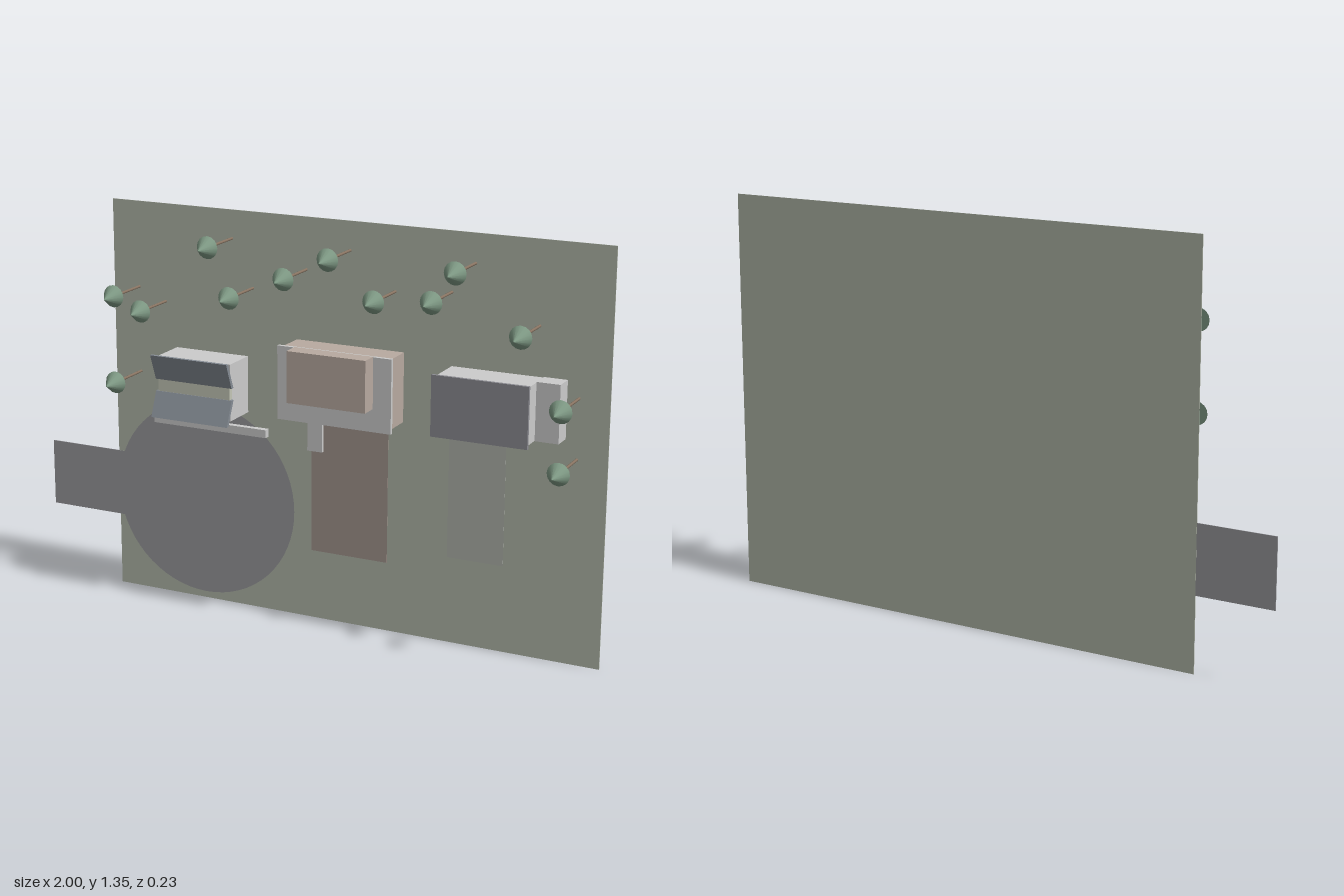
import * as THREE from 'three';

const BASE = -0.111; // front face of the ground board

const mat = (color) => new THREE.MeshStandardMaterial({ color, side: THREE.DoubleSide });
const mats = {
  lawn: mat(0xb0b6a8), paving: mat(0x98989c), brownPath: mat(0xa2958d), palePath: mat(0xaeb2aa),
  wall: mat(0xcccccc), darkRoof: mat(0x8c8c92), slate: mat(0x858c94), cream: mat(0xc3c6b6),
  brown: mat(0xb8aaa0), trunk: mat(0x8a7563), leaf: mat(0x7f9a85),
};

export function createModel() {
  const model = new THREE.Group();

  function add(name, geometry, material, parent = model) {
    const mesh = new THREE.Mesh(geometry, material);
    mesh.name = name;
    parent.add(mesh);
    return mesh;
  }

  // Box given by its limits on each axis
  function block(name, x0, x1, y0, y1, z0, z1, material, parent) {
    const mesh = add(name, new THREE.BoxGeometry(x1 - x0, y1 - y0, z1 - z0), material, parent);
    mesh.position.set((x0 + x1) / 2, (y0 + y1) / 2, (z0 + z1) / 2);
    return mesh;
  }

  function group(name) {
    const g = new THREE.Group();
    g.name = name;
    model.add(g);
    return g;
  }

  // Ground board with flat paved areas
  block('ground', -0.735, 1, 0, 1.347, -0.114, BASE, mats.lawn);
  block('entryRoad', -1, -0.7, 0.25, 0.478, -0.113, BASE + 0.001, mats.paving);
  const court = add('roundCourt', new THREE.CircleGeometry(0.335, 64), mats.paving);
  court.position.set(-0.4, 0.357, BASE + 0.0015);
  block('driveway', -0.002, 0.27, 0.235, 0.715, BASE, BASE + 0.001, mats.brownPath);
  block('sidePath', 0.48, 0.67, 0.29, 0.735, BASE, BASE + 0.001, mats.palePath);

  // House with a butterfly roof: two slabs sloping in to a flat valley
  const butterfly = group('butterflyHouse');
  block('walls', -0.5, -0.235, 0.678, 0.868, BASE, 0.012, mats.wall, butterfly);
  block('roofValley', -0.5, -0.235, 0.74, 0.805, 0.0, 0.016, mats.cream, butterfly);
  function roofSlab(name, yOuter, yInner) {
    const s = Math.sign(yInner - yOuter);
    const shape = new THREE.Shape([
      [yOuter, 0.052], [yInner, 0.018], [yInner, 0.004], [yOuter + s * 0.012, 0.036], [yOuter, 0.04],
    ].map(([y, z]) => new THREE.Vector2(-z, y)));
    const g = new THREE.ExtrudeGeometry(shape, { depth: 0.281, bevelEnabled: false });
    g.rotateY(Math.PI / 2); // profile into the yz plane, extruded along x
    add(name, g, mats.slate, butterfly).position.x = -0.508;
  }
  roofSlab('upperRoof', 0.877, 0.79);
  roofSlab('lowerRoof', 0.668, 0.75);
  block('porchLedge', -0.58, -0.16, 0.604, 0.631, BASE, -0.09, mats.wall, butterfly);

  // House with a raised upper block
  const tower = group('raisedHouse');
  block('walls', -0.056, 0.32, 0.717, 0.945, BASE, 0.0, mats.brown, tower);
  block('flatRoof', -0.064, 0.332, 0.71, 0.952, 0.0, 0.012, mats.wall, tower);
  block('upperBlock', -0.002, 0.27, 0.785, 0.954, 0.012, 0.07, mats.brown, tower);
  block('frontStep', -0.013, 0.04, 0.58, 0.717, BASE, -0.1, mats.wall, tower);

  // Long house with a lower annex
  const longHouse = group('longHouse');
  block('walls', 0.482, 0.785, 0.736, 0.92, BASE, 0.025, mats.wall, longHouse);
  block('darkRoof', 0.475, 0.792, 0.73, 0.927, 0.025, 0.035, mats.darkRoof, longHouse);
  block('annex', 0.785, 0.862, 0.735, 0.922, BASE, -0.047, mats.wall, longHouse);

  // Trees standing out from the board
  const trunkGeo = new THREE.CylinderGeometry(0.0045, 0.0045, 0.145, 8).rotateX(Math.PI / 2);
  const crownGeo = new THREE.ConeGeometry(0.037, 0.06, 16).rotateX(Math.PI / 2);
  [
    [-0.64, 1.06], [-0.54, 1.02], [-0.29, 1.253], [-0.215, 1.097], [-0.022, 1.177],
    [0.131, 1.253], [0.287, 1.137], [0.478, 1.155], [0.554, 1.253], [0.767, 1.08],
    [0.9, 0.868], [0.9, 0.674], [-0.64, 0.77],
  ].forEach(([x, y]) => {
    const tree = group('tree');
    tree.position.set(x, y, 0);
    add('trunk', trunkGeo, mats.trunk, tree).position.z = -0.04;
    add('crown', crownGeo, mats.leaf, tree).position.z = 0.084;
  });

  return model;
}
